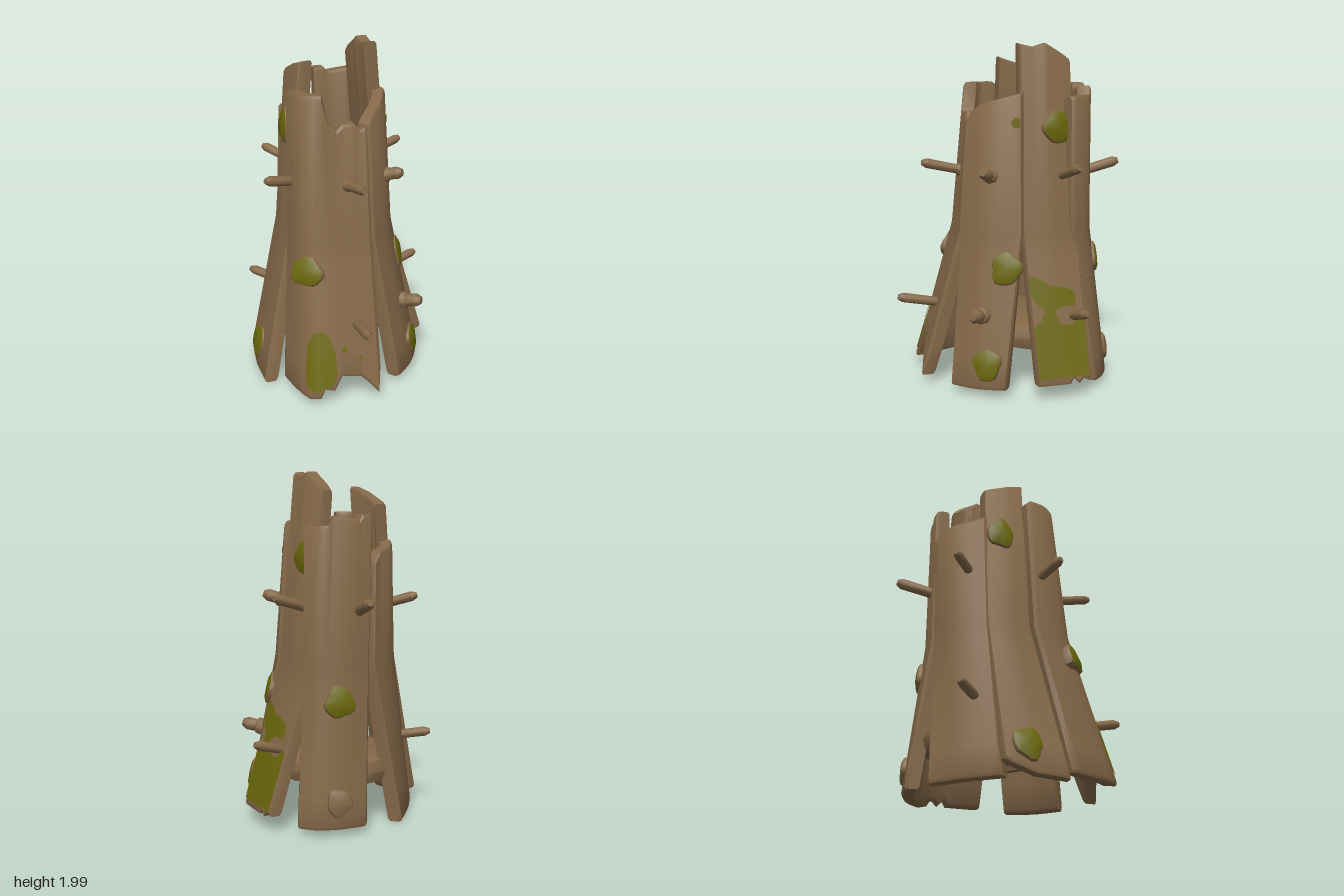
import * as THREE from 'three';
import { toCreasedNormals } from 'three/addons/utils/BufferGeometryUtils.js';

const KINK = 0.93, BASE = 0.05, THICK = 0.08;

// Piecewise linear lookup in [[x, a, b...], ...]
function sample(table, x, k = 1) {
  let i = 0;
  while (i < table.length - 2 && x > table[i + 1][0]) i++;
  const a = table[i], b = table[i + 1];
  return a[k] + (b[k] - a[k]) * THREE.MathUtils.clamp((x - a[0]) / (b[0] - a[0]), 0, 1);
}

const curve = (pts) => new THREE.SplineCurve(pts.map(([x, z]) => new THREE.Vector2(x, z)));

// A plank follows three outlines (top, kink, foot), listed left to right seen from outside.
// topEdge and footEdge are the broken ends as [u, y].
function definePlank(name, topY, top, mid, foot, topEdge, footEdge) {
  const [cT, cM, cF] = [top, mid, foot].map(curve);
  const surface = (u, y) => {
    const [a, b, t] = y > KINK ? [cM, cT, (y - KINK) / (topY - KINK)] : [cF, cM, (y - BASE) / (KINK - BASE)];
    const p = a.getPoint(u).lerp(b.getPoint(u), t);
    return new THREE.Vector3(p.x, y, p.y);
  };
  const frame = (u, y) => {
    const e = 0.02;
    const t = surface(Math.min(1, u + e), y).sub(surface(Math.max(0, u - e), y)).normalize();
    const v = surface(u, y + e).sub(surface(u, y - e)).normalize();
    return { t, v, n: t.clone().cross(v).normalize() };
  };
  return { name, surface, frame, topEdge, footEdge };
}

const PLANKS = {
  front: definePlank('frontPlank', 1.77,
    [[-0.375, 0], [-0.34, 0.14], [-0.22, 0.22], [0.01, 0.255]],
    [[-0.395, 0.03], [-0.375, 0.19], [-0.26, 0.29], [0.03, 0.32]],
    [[-0.5, 0.2], [-0.43, 0.465], [-0.27, 0.535], [0, 0.56]],
    [[0, 1.75], [0.08, 1.77], [0.63, 1.77], [0.7, 1.62], [0.76, 1.58], [0.8, 1.61], [0.88, 1.61], [0.92, 1.57], [1, 1.6]],
    [[0, 0.08], [0.35, 0.06], [0.5, 0.07], [0.55, 0.12], [0.65, 0.11], [0.72, 0.19], [0.84, 0.17], [0.96, 0.06], [1, 0.19]]),
  frontRight: definePlank('frontRightPlank', 1.7,
    [[0.02, 0.26], [0.135, 0.165], [0.225, 0.01]],
    [[0.035, 0.32], [0.175, 0.215], [0.27, 0.02]],
    [[0.16, 0.43], [0.3, 0.32], [0.4, 0.17]],
    [[0, 1.6], [0.3, 1.66], [1, 1.73]], [[0, 0.05], [1, 0.06]]),
  right: definePlank('sidePlank', 2,
    [[0.17, 0.01], [0.18, -0.15], [0.17, -0.3]],
    [[0.26, 0.02], [0.275, -0.15], [0.26, -0.32]],
    [[0.52, 0.01], [0.53, -0.15], [0.54, -0.3]],
    [[0, 2], [0.3, 1.98], [0.5, 2], [1, 1.9]],
    [[0, 0.1], [0.6, 0.1], [0.66, 0.13], [0.75, 0.1], [0.85, 0.13], [1, 0.11]]),
  backRight: definePlank('backRightPlank', 1.75,
    [[0.28, -0.28], [0.22, -0.4], [0.09, -0.455], [-0.06, -0.465]],
    [[0.29, -0.28], [0.24, -0.39], [0.11, -0.455], [-0.05, -0.46]],
    [[0.39, -0.39], [0.32, -0.475], [0.19, -0.54], [0.03, -0.565]],
    [[0, 1.7], [0.4, 1.71], [0.46, 1.76], [0.8, 1.74], [0.84, 1.77], [1, 1.77]],
    [[0, 0.05], [1, 0.05]]),
  backLeft: definePlank('backLeftPlank', 1.55,
    [[-0.06, -0.48], [-0.21, -0.42], [-0.34, -0.25]],
    [[-0.07, -0.465], [-0.24, -0.4], [-0.37, -0.24]],
    [[-0.23, -0.52], [-0.38, -0.385], [-0.52, -0.22]],
    [[0, 1.5], [0.2, 1.57], [0.8, 1.6], [1, 1.62]], [[0, 0.01], [1, 0.01]]),
  left: definePlank('otherSidePlank', 1.92,
    [[-0.29, -0.25], [-0.295, -0.12], [-0.29, 0]],
    [[-0.37, -0.25], [-0.385, -0.12], [-0.37, 0.01]],
    [[-0.57, -0.22], [-0.58, -0.05], [-0.58, 0.13]],
    [[0, 1.82], [0.6, 1.89], [1, 1.92]], [[0, 0.09], [0.5, 0.02], [1, 0.01]]),
};

function gridGeometry(rows, closed) {
  const n = rows[0].length, pos = rows.flat().flatMap((p) => [p.x, p.y, p.z]), idx = [];
  for (let r = 0; r < rows.length - 1; r++) {
    for (let i = 0; i < (closed ? n : n - 1); i++) {
      const j = (i + 1) % n, a = r * n + i, b = r * n + j;
      idx.push(a, a + n, b, b, a + n, b + n);
    }
  }
  const g = new THREE.BufferGeometry();
  g.setAttribute('position', new THREE.Float32BufferAttribute(pos, 3));
  g.setIndex(idx);
  return g;
}

// Thick curved board with bevelled sides and broken ends; rows run from top to foot
function plankGeometry(p) {
  const us = [...new Set([0, 0.05, 0.15, 0.25, 0.35, 0.45, 0.55, 0.65, 0.75, 0.85, 0.95, 1,
    ...p.topEdge.map((e) => e[0]), ...p.footEdge.map((e) => e[0])])].sort((a, b) => a - b);
  const point = (u, y, depth) => {
    const { n } = p.frame(u, y);
    n.y = 0;
    return p.surface(u, y).addScaledVector(n.normalize(), -depth);
  };
  const row = (yAt, inset) => [
    ...us.map((u) => point(u, yAt(u), inset + (u === 0 || u === 1 ? 0.018 : 0))),
    ...us.slice().reverse().map((u) => point(u, yAt(u), THICK - inset)),
  ];
  const top = (u) => sample(p.topEdge, u), foot = (u) => sample(p.footEdge, u);
  const rows = [row(top, 0.01), row((u) => top(u) - 0.018, 0)];
  for (let k = 0; k <= 6; k++) rows.push(row((u) => THREE.MathUtils.lerp(KINK, foot(u) + 0.018, k / 6), 0));
  rows.push(row(foot, 0.01));
  const g = gridGeometry(rows, true);
  // End caps bridge outer and inner edges
  const idx = [...g.index.array], n = us.length, m = 2 * n, last = (rows.length - 1) * m;
  for (let i = 0; i < n - 1; i++) {
    const a = i, b = i + 1, c = m - 1 - i, d = m - 2 - i;
    idx.push(a, b, c, b, d, c, last + a, last + c, last + b, last + b, last + c, last + d);
  }
  g.setIndex(idx);
  return toCreasedNormals(g, 0.6);
}

// Thin moss skin on a plank, outlined by [u, low, high]
function patchGeometry(p, outline) {
  const u0 = outline[0][0], u1 = outline[outline.length - 1][0], rows = [];
  for (let r = 0; r <= 6; r++) {
    rows.push(Array.from({ length: 25 }, (_, i) => {
      const u = u0 + (u1 - u0) * i / 24, hi = sample(outline, u, 2), lo = sample(outline, u, 1);
      const y = hi + (lo - hi) * r / 6;
      return p.surface(u, y).addScaledVector(p.frame(u, y).n, 0.006);
    }));
  }
  const g = gridGeometry(rows, false);
  g.computeVertexNormals();
  return g;
}

function lathe(profile, sides) {
  return new THREE.LatheGeometry(profile.map(([x, y]) => new THREE.Vector2(x, y)), sides);
}

export function createModel() {
  const model = new THREE.Group();
  const wood = new THREE.MeshStandardMaterial({ name: 'wood brown', color: 0x846848 });
  const moss = new THREE.MeshStandardMaterial({ name: 'moss green', color: 0x6a670a });
  const add = (parent, name, geometry, material) => {
    const mesh = new THREE.Mesh(geometry, material);
    mesh.name = name;
    parent.add(mesh);
    return mesh;
  };

  for (const p of Object.values(PLANKS)) add(model, p.name, plankGeometry(p), wood);

  // Round floor with a raised rim
  const floor = lathe([[0, 0.29], [0.3, 0.29], [0.31, 0.26], [0.35, 0.26], [0.37, 0.32], [0.35, 0.38], [0.31, 0.395], [0, 0.385]], 14);
  add(model, 'floor', toCreasedNormals(floor, 0.7), wood).position.set(-0.05, 0, -0.12);

  // Pegs: start, end, radius, collar length
  const pegs = [
    [[-0.11, 1.25, 0.2], [-0.11, 1.32, 0.51], 0.027, 0.09], [[-0.11, 0.46, 0.35], [-0.135, 0.52, 0.66], 0.027, 0],
    [[0.1, 1.24, 0.12], [0.235, 1.29, 0.25], 0.035, 0.1], [[0.19, 0.46, 0.2], [0.335, 0.495, 0.345], 0.038, 0.11],
    [[0.18, 1.24, -0.22], [0.44, 1.32, -0.25], 0.027, 0], [[0.35, 0.455, -0.23], [0.57, 0.52, -0.25], 0.027, 0],
    [[0.01, 1.23, -0.4], [0.085, 1.31, -0.65], 0.03, 0],
    [[-0.25, 1.25, -0.29], [-0.38, 1.31, -0.44], 0.027, 0], [[-0.34, 0.46, -0.28], [-0.49, 0.5, -0.44], 0.027, 0],
    [[-0.32, 1.25, 0.06], [-0.54, 1.3, 0.13], 0.028, 0],
  ];
  for (const [a, b, r, collar] of pegs) {
    const from = new THREE.Vector3(...a), dir = new THREE.Vector3(...b).sub(from), len = dir.length();
    const base = collar ? [[0, 0], [r * 1.35, 0], [r * 1.35, collar], [r, collar + 0.012]] : [[0, 0], [r, 0]];
    const g = lathe([...base, [r * 1.05, len - 0.03], [r * 0.6, len], [0, len]], 8);
    const peg = add(model, 'peg', toCreasedNormals(g, 0.8), wood);
    peg.position.copy(from);
    peg.quaternion.setFromUnitVectors(new THREE.Vector3(0, 1, 0), dir.normalize());
  }

  // Burls: plank, u, y, half width, half height, mossy
  const burls = [
    ['front', 0.44, 0.78, 0.1, 0.09, true], ['frontRight', 0.79, 0.74, 0.09, 0.1, true],
    ['frontRight', 0.65, 0.2, 0.085, 0.095, true], ['right', 0.65, 1.53, 0.088, 0.097, true],
    ['backRight', 0.6, 0.75, 0.085, 0.09, true], ['backRight', 0.63, 0.2, 0.07, 0.08, false],
    ['left', 0.42, 0.18, 0.085, 0.1, true], ['left', 0.37, 1.52, 0.08, 0.1, true],
  ];
  burls.forEach(([key, u, y, w, h, mossy], seed) => {
    const { t, v, n } = PLANKS[key].frame(u, y);
    const burl = new THREE.Group();
    burl.name = 'burl';
    const shape = (profile) => {
      const g = lathe(profile, 18), pos = g.attributes.position;
      for (let i = 0; i < pos.count; i++) {
        const a = Math.atan2(pos.getZ(i), pos.getX(i));
        const k = 1 + 0.08 * Math.sin(3 * a + seed * 1.7) + 0.06 * Math.cos(5 * a + seed);
        pos.setXYZ(i, pos.getX(i) * k * w, pos.getY(i), pos.getZ(i) * k * h);
      }
      return toCreasedNormals(g, 0.9);
    };
    add(burl, 'burlRim', shape([[0.95, -0.04], [1, -0.002], [0.93, 0.012]]), wood);
    add(burl, 'burlCap', shape([[0.93, 0.012], [0.65, 0.022], [0, 0.026]]), mossy ? moss : wood);
    burl.position.copy(PLANKS[key].surface(u, y));
    burl.quaternion.setFromRotationMatrix(new THREE.Matrix4().makeBasis(t, n, v.negate()));
    model.add(burl);
  });

  // Flat moss growth
  const patches = [
    ['front', [[0.34, 0.14, 0.24], [0.38, 0.12, 0.38], [0.46, 0.11, 0.44], [0.58, 0.13, 0.45], [0.64, 0.15, 0.42], [0.68, 0.2, 0.32]]],
    ['right', [[0.04, 0.14, 0.42], [0.2, 0.14, 0.45], [0.3, 0.14, 0.53], [0.42, 0.14, 0.51], [0.5, 0.14, 0.43], [0.7, 0.14, 0.42], [0.85, 0.14, 0.47], [0.96, 0.14, 0.46]]],
    ['right', [[0.04, 0.6, 0.69], [0.1, 0.57, 0.7], [0.25, 0.51, 0.68], [0.4, 0.5, 0.64], [0.6, 0.53, 0.63], [0.75, 0.52, 0.61], [0.8, 0.55, 0.57]]],
    ['frontRight', [[0.8, 1.55, 1.57], [0.85, 1.53, 1.59], [0.92, 1.53, 1.59], [0.95, 1.55, 1.57]]],
    ['front', [[0.73, 0.33, 0.35], [0.745, 0.325, 0.36], [0.76, 0.335, 0.35]]],
    ['front', [[0.83, 0.28, 0.29], [0.84, 0.275, 0.3], [0.85, 0.28, 0.29]]],
  ];
  for (const [key, outline] of patches) add(model, 'mossPatch', patchGeometry(PLANKS[key], outline), moss);

  return model;
}
